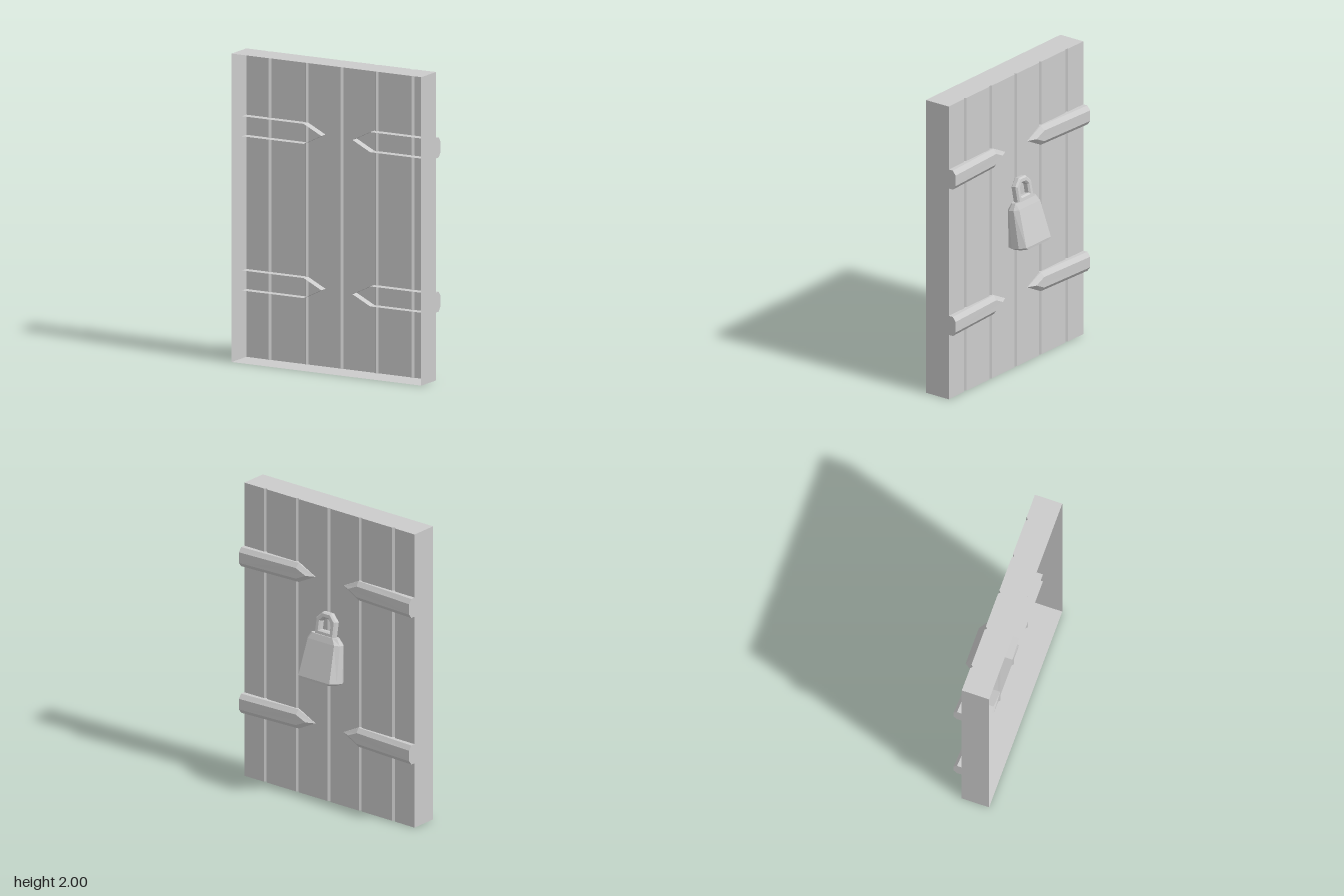
import * as THREE from 'three';

const material = new THREE.MeshStandardMaterial({ color: 0xcccccc, flatShading: true, side: THREE.DoubleSide });

function mesh(name, geometry) {
  const m = new THREE.Mesh(geometry, material);
  m.name = name;
  return m;
}

// Joins rows of equally many points with quads; extra polygons are fanned.
function loft(rows, closed, caps = []) {
  const pos = [];
  const tri = (...p) => p.forEach((v) => pos.push(...v));
  for (let r = 0; r + 1 < rows.length; r++) {
    const a = rows[r], b = rows[r + 1], n = a.length;
    for (let i = 0; i < (closed ? n : n - 1); i++) {
      const j = (i + 1) % n;
      tri(a[i], b[i], b[j]);
      tri(a[i], b[j], a[j]);
    }
  }
  for (const c of caps) for (let i = 1; i + 1 < c.length; i++) tri(c[0], c[i], c[i + 1]);
  const g = new THREE.BufferGeometry();
  g.setAttribute('position', new THREE.Float32BufferAttribute(pos, 3));
  g.computeVertexNormals();
  return g;
}

// Door shell: planked back sheet with side, top and bottom walls, open at the front
function createDoor() {
  const door = new THREE.Group();
  door.name = 'door';
  const profile = [[-0.7, 0.18], [-0.7, -0.004]];
  for (const x of [-0.528, -0.253, 0.004, 0.264, 0.527]) {
    profile.push([x - 0.013, -0.003], [x, 0.009], [x + 0.013, -0.003]);
  }
  profile.push([0.7, -0.004], [0.7, 0.18]);
  const row = (y) => profile.map(([x, z]) => [x, y, z]);
  door.add(mesh('planks', loft([row(0), row(2)], false)));

  const outline = new THREE.Shape(profile.map(([x, z]) => new THREE.Vector2(x, z)));
  for (const [name, y] of [['bottomWall', 0], ['topWall', 2]]) {
    const g = new THREE.ShapeGeometry(outline).rotateX(Math.PI / 2).translate(0, y, 0);
    door.add(mesh(name, g));
  }
  return door;
}

// Pointed hinge strap, bevelled at the back, its rim passing through the planks
function strapGeometry(side) {
  const rim = [[0.7, -0.065, -0.036], [0.245, -0.065, -0.013], [0.115, 0, -0.005], [0.245, 0.065, -0.013], [0.7, 0.065, -0.036]];
  const ridge = [[0.7, -0.036, -0.058], [0.25, -0.036, -0.037], [0.175, 0, -0.033], [0.25, 0.036, -0.037], [0.7, 0.036, -0.058]];
  const front = rim.map(([x, y]) => [x, y, 0.05]);
  const end = [[0.7, -0.065, 0], rim[0], ridge[0], ridge[4], rim[4], [0.7, 0.065, 0]];
  const flip = (row) => row.map(([x, y, z]) => [side * x, y, z]);
  return loft([front, rim, ridge].map(flip), false, [ridge, end].map(flip));
}

// Padlock: tapered chamfered body and octagonal shackle, leaning on the door
function createPadlock() {
  const lock = new THREE.Group();
  lock.name = 'padlock';

  // height, half width, back z, front z
  const sections = [
    [-0.143, 0.13, -0.063, 0.062],
    [-0.128, 0.152, -0.067, 0.078],
    [0.118, 0.133, -0.042, 0.052],
    [0.16, 0.105, -0.034, 0.03],
  ];
  const rows = sections.map(([y, w, b, f]) => {
    const cx = 0.025, cz = (f - b) * 0.3;
    return [[-w + cx, f], [w - cx, f], [w, f - cz], [w, b + cz], [w - cx, b], [-w + cx, b], [-w, b + cz], [-w, f - cz]]
      .map(([x, z]) => [x, y, z]).reverse();
  });
  lock.add(mesh('lockBody', loft(rows, true, [rows[0], [...rows[3]].reverse()])));

  const arch = (w, y0, y1, c) => [[-w, y0], [w, y0], [w, y1 - c], [w - c, y1], [-w + c, y1], [-w, y1 - c]]
    .map(([x, y]) => new THREE.Vector2(x, y));
  const shape = new THREE.Shape(arch(0.07, 0.155, 0.297, 0.04));
  shape.holes.push(new THREE.Path(arch(0.05, 0.178, 0.277, 0.028).reverse()));
  const g = new THREE.ExtrudeGeometry(shape, {
    depth: 0.028, bevelEnabled: true, bevelThickness: 0.011, bevelSize: 0.01, bevelSegments: 1,
  }).translate(0, 0, -0.014);
  lock.add(mesh('shackle', g));

  lock.position.set(-0.012, 1, -0.085);
  lock.rotation.x = 0.19;
  return lock;
}

export function createModel() {
  const model = new THREE.Group();
  model.name = 'plankDoor';
  model.add(createDoor(), createPadlock());
  for (const side of [1, -1]) {
    for (const y of [0.505, 1.505]) {
      const strap = mesh((y > 1 ? 'upper' : 'lower') + (side > 0 ? 'Left' : 'Right') + 'Strap', strapGeometry(side));
      strap.position.y = y;
      model.add(strap);
    }
  }
  return model;
}
